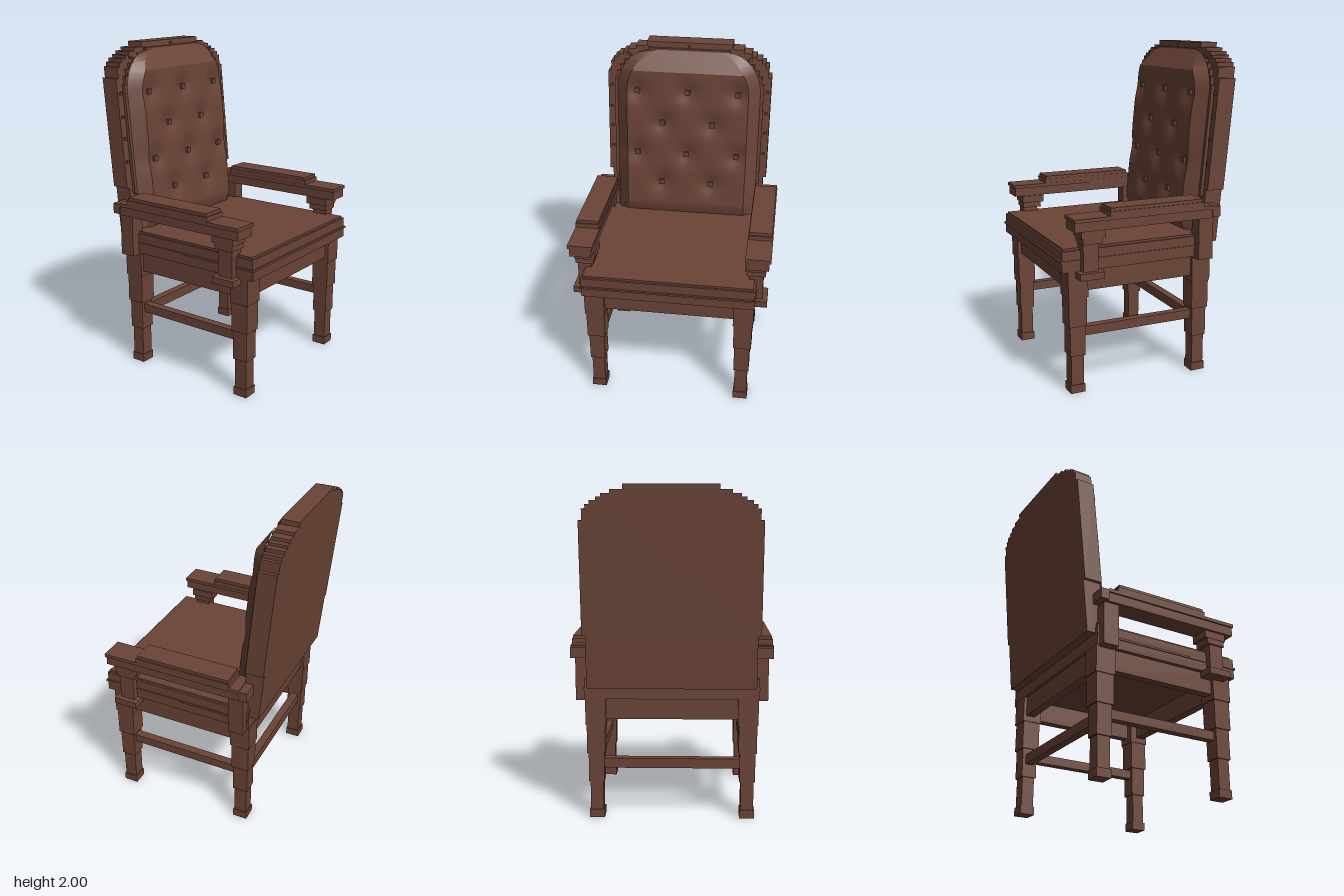
import * as THREE from 'three';
import { toCreasedNormals } from 'three/addons/utils/BufferGeometryUtils.js';

const LEAN = 0.094; // backward lean of the back per unit of height
const frontZ = (y) => -0.267 - LEAN * y; // front plane of the back frame

export function createModel() {
  const chair = new THREE.Group();
  chair.name = 'armchair';
  const wood = new THREE.MeshStandardMaterial({ color: 0x6b4437 });
  wood.name = 'reddish brown';

  const add = (name, geometry, parent = chair) => {
    const mesh = new THREE.Mesh(geometry, wood);
    mesh.name = name;
    parent.add(mesh);
    return mesh;
  };
  // box given by its min and max on each axis
  const box = (name, x0, x1, y0, y1, z0, z1, parent = chair) => {
    const g = new THREE.BoxGeometry(x1 - x0, y1 - y0, z1 - z0);
    g.translate((x0 + x1) / 2, (y0 + y1) / 2, (z0 + z1) / 2);
    return add(name, g, parent);
  };
  // same box on both sides
  const pair = (name, x0, x1, ...rest) => {
    box(name + 'Left', x0, x1, ...rest);
    box(name + 'Right', -x1, -x0, ...rest);
  };
  const lean = (g) => g.applyMatrix4(new THREE.Matrix4().set(
    1, 0, 0, 0, 0, 1, 0, 0, 0, -LEAN, 1, 0, 0, 0, 0, 1));

  // legs: stacked square sections [bottom, top, half width]
  const sections = [[0, 0.05, 0.045], [0.05, 0.23, 0.039], [0.23, 0.41, 0.047],
    [0.41, 0.585, 0.055], [0.585, 0.745, 0.061]];
  for (const [row, z] of [['front', 0.457], ['back', -0.343]]) {
    for (const [side, x] of [['Left', 0.455], ['Right', -0.455]]) {
      const leg = new THREE.Group();
      leg.name = row + 'Leg' + side;
      for (const [y0, y1, r] of sections) {
        box('legSection', x - r, x + r, y0, y1, z - r, z + r, leg);
      }
      chair.add(leg);
    }
  }

  // stretchers
  pair('sideStretcher', 0.43, 0.48, 0.34, 0.395, -0.3, 0.42);
  box('backStretcher', -0.42, 0.42, 0.31, 0.37, -0.37, -0.32);

  // apron, open underneath
  box('frontApron', -0.4, 0.4, 0.62, 0.745, 0.44, 0.495);
  box('backApron', -0.4, 0.4, 0.62, 0.745, -0.385, -0.33);
  pair('sideApron', 0.44, 0.495, 0.62, 0.745, -0.285, 0.4);

  // seat
  box('seatRail', -0.52, 0.52, 0.745, 0.803, -0.4, 0.557);
  box('seatWelt', -0.526, 0.526, 0.803, 0.815, -0.4, 0.566);
  box('seatCushion', -0.52, 0.52, 0.815, 0.87, -0.4, 0.555);
  box('seatTop', -0.508, 0.508, 0.87, 0.883, -0.4, 0.543);

  // arms
  pair('armLower', 0.46, 0.59, 0.99, 1.045, -0.37, 0.505);
  pair('armRest', 0.45, 0.6, 1.045, 1.066, -0.37, 0.51);
  pair('armPadBase', 0.452, 0.6, 1.066, 1.093, -0.31, 0.295);
  pair('armPad', 0.456, 0.594, 1.093, 1.112, -0.3, 0.287);
  pair('armBackBlock', 0.5, 0.597, 0.997, 1.06, -0.42, -0.37);
  pair('armFrontCap', 0.45, 0.575, 0.945, 0.99, 0.312, 0.458);
  pair('armFrontNeck', 0.46, 0.572, 0.91, 0.945, 0.33, 0.45);
  pair('armFrontPost', 0.475, 0.56, 0.745, 0.91, 0.35, 0.443);
  pair('armFrontFoot', 0.47, 0.59, 0.708, 0.748, 0.323, 0.472);
  pair('armBackPost', 0.485, 0.572, 0.735, 0.99, -0.388, -0.292);

  // stepped outline of the back: [half width, top of that step]
  const steppedSlab = (steps, y0, z0, depth) => {
    const right = [];
    let y = y0;
    for (const [w, top] of steps) {
      right.push([w, y], [w, top]);
      y = top;
    }
    const left = right.map(([w, h]) => [-w, h]).reverse();
    const shape = new THREE.Shape([...right, ...left].map((p) => new THREE.Vector2(...p)));
    const g = new THREE.ExtrudeGeometry(shape, { depth, bevelEnabled: false });
    return lean(g.translate(0, 0, z0));
  };
  add('backFrame', steppedSlab([[0.5, 1.14], [0.52, 1.8], [0.5, 1.865], [0.48, 1.89],
    [0.455, 1.912], [0.42, 1.93], [0.39, 1.95], [0.34, 1.97], [0.27, 2.0]],
  0.82, -0.377, 0.11));
  add('backBead', steppedSlab([[0.45, 1.1], [0.475, 1.76], [0.46, 1.81], [0.44, 1.85],
    [0.41, 1.885], [0.37, 1.91], [0.32, 1.935], [0.25, 1.965]],
  0.85, -0.27, 0.023));

  // button positions on the back cushion
  const buttons = [];
  for (const y of [1.71, 1.3]) for (const x of [-0.32, 0, 0.32]) buttons.push([x, y]);
  for (const y of [1.505, 1.1]) for (const x of [-0.16, 0.16]) buttons.push([x, y]);

  // back cushion: chamfered rounded pad with a soft dent at every button
  const halfWidth = (y) => (y < 1.7 ? 0.455
    : 0.23 + 0.225 * Math.sqrt(Math.max(0, 1 - ((y - 1.7) / 0.26) ** 2)));
  const COLS = 50;
  const ROWS = 62;
  const pad = new THREE.PlaneGeometry(1, 1, COLS, ROWS);
  const pos = pad.attributes.position;
  for (let i = 0; i < pos.count; i++) {
    const c = i % (COLS + 1);
    const r = ROWS - Math.floor(i / (COLS + 1));
    let y = 0.95 + (0.89 * (r - 1)) / (ROWS - 7);
    if (r === 0) y = 0.865;
    if (r > ROWS - 6) y = 1.84 + (0.115 * (r - ROWS + 6)) / 6;
    const w = halfWidth(y);
    const edge = c === 0 || c === COLS;
    const x = edge ? Math.sign(c - 1) * w : (w - 0.07) * ((2 * (c - 1)) / (COLS - 2) - 1);
    let puff = edge ? 0 : 0.068;
    if (r === 0) puff *= 0.45;
    if (y > 1.84) puff *= (1.955 - y) / 0.115;
    if (!edge && r > 0) {
      for (const [bx, by] of buttons) {
        puff -= 0.024 * Math.exp(-((x - bx) ** 2 + (y - by) ** 2) / 0.005);
      }
    }
    pos.setXYZ(i, x, y, frontZ(y) + 0.02 + Math.max(puff, 0));
  }
  add('backCushion', toCreasedNormals(pad, 0.45));

  // buttons and frame nails
  const stud = (name, x, y, size, out) => {
    const g = new THREE.BoxGeometry(size, size, 0.03);
    add(name, g.translate(x, y, frontZ(y) + out - 0.015));
  };
  for (const [x, y] of buttons) stud('cushionButton', x, y, 0.034, 0.08);
  stud('frameNail', 0, 1.975, 0.018, 0.01);
  for (const s of [-1, 1]) {
    for (const y of [1.3, 1.44, 1.57, 1.71]) stud('frameNail', s * 0.497, y, 0.018, 0.01);
    stud('frameNail', s * 0.25, 1.96, 0.018, 0.01);
    stud('frameNail', s * 0.385, 1.915, 0.018, 0.01);
  }

  return chair;
}
